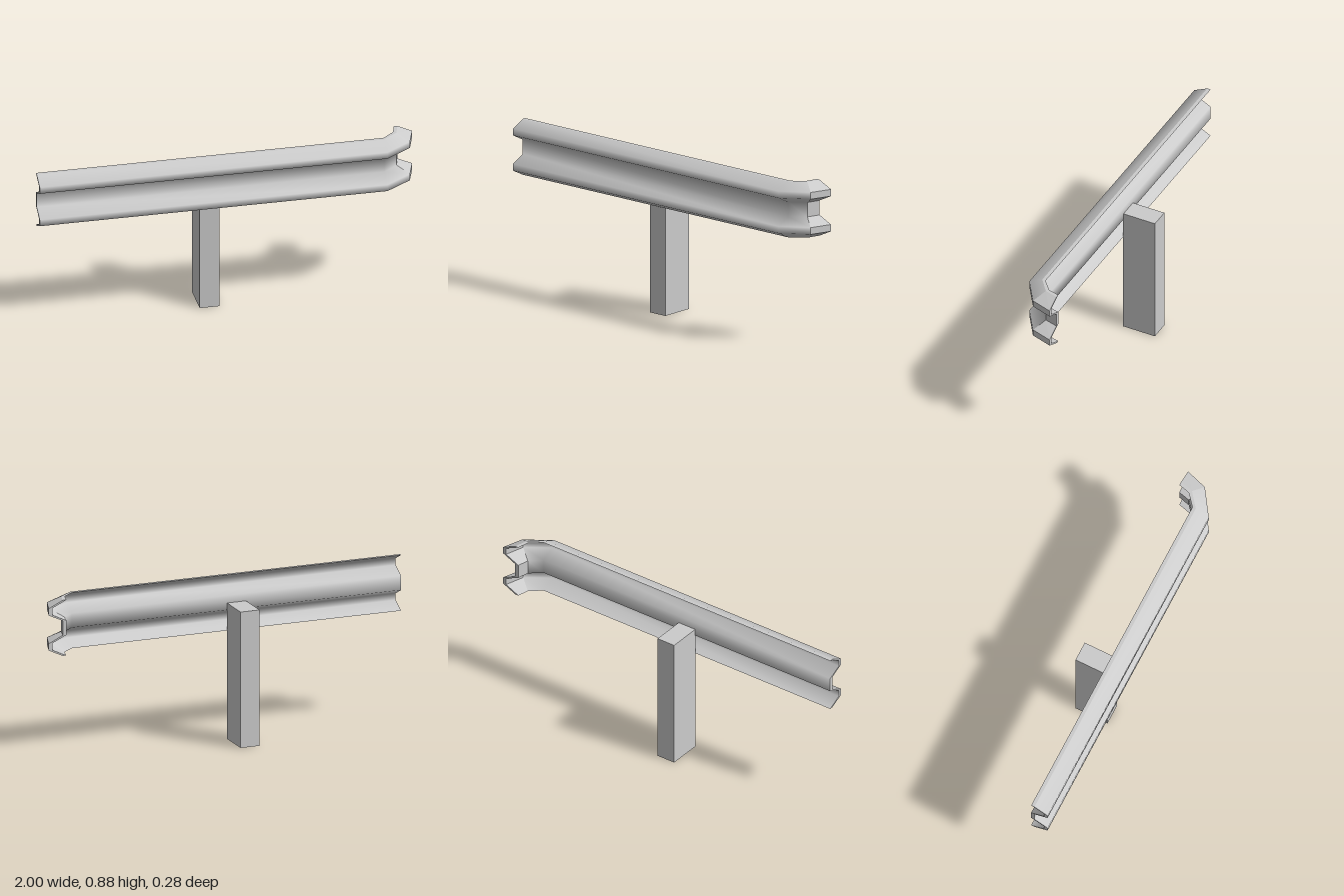
import * as THREE from 'three';
import { mergeGeometries } from 'three/addons/utils/BufferGeometryUtils.js';

// Rail cross-section from top to bottom: [height, depth], depth 0 = back, 1 = front
const PROFILE = [
  [0.875, 0.22], [0.838, 1], [0.802, 1], [0.765, 0.22],
  [0.688, 0.22], [0.651, 1], [0.615, 1], [0.578, 0.22],
];
const THICKNESS = 0.2;

// Plan of the rail: [back x, back z, front x, front z] at each bend
const STATIONS = [
  [-1, 0.042, -1, 0.138],
  [0.825, 0.042, 0.825, 0.138],
  [0.885, -0.01, 0.963, 0.045],
  [0.9, -0.07, 1, -0.07],
];

// Surface through columns of points, each column running top to bottom
function grid(columns, smooth) {
  const rows = columns[0].length;
  const index = [];
  for (let i = 0; i < columns.length - 1; i++) {
    for (let j = 0; j < rows - 1; j++) {
      const a = i * rows + j;
      const d = a + rows;
      index.push(a, a + 1, d + 1, a, d + 1, d);
    }
  }
  let geometry = new THREE.BufferGeometry().setFromPoints(columns.flat());
  geometry.setIndex(index);
  if (smooth) geometry.computeVertexNormals();
  geometry = geometry.toNonIndexed();
  if (!smooth) geometry.computeVertexNormals();
  return geometry;
}

// Cross-section placed at one bend, pushed back by the given depth
function section([bx, bz, fx, fz], offset) {
  return PROFILE.map(([y, depth]) => {
    const t = depth - offset;
    return new THREE.Vector3(bx + (fx - bx) * t, y, bz + (fz - bz) * t);
  });
}

function railGeometry() {
  const front = STATIONS.map((s) => section(s, 0));
  const back = STATIONS.map((s) => section(s, THICKNESS));
  const reversed = (columns) => [...columns].reverse();
  const last = PROFILE.length - 1;
  const end = STATIONS.length - 1;
  return mergeGeometries([
    // Smooth run and first bend, then the faceted tip
    grid(front.slice(0, end), true),
    grid(front.slice(end - 1), false),
    grid(reversed(back.slice(0, end)), true),
    grid(reversed(back.slice(end - 1)), false),
    // Top and bottom rims
    grid(front.map((f, i) => [back[i][0], f[0]]), false),
    grid(front.map((f, i) => [f[last], back[i][last]]), false),
    // End caps
    grid([back[0], front[0]], false),
    grid([front[end], back[end]], false),
  ]);
}

export function createModel() {
  const model = new THREE.Group();
  model.name = 'guardRail';
  const material = new THREE.MeshStandardMaterial({ color: 0xcccccc });

  // Corrugated rail with its turned-back end
  const rail = new THREE.Mesh(railGeometry(), material);
  rail.name = 'rail';

  // Support post
  const post = new THREE.Mesh(new THREE.BoxGeometry(0.105, 0.725, 0.184), material);
  post.name = 'post';
  post.position.set(-0.088, 0.3625, -0.046);

  model.add(rail, post);
  return model;
}
